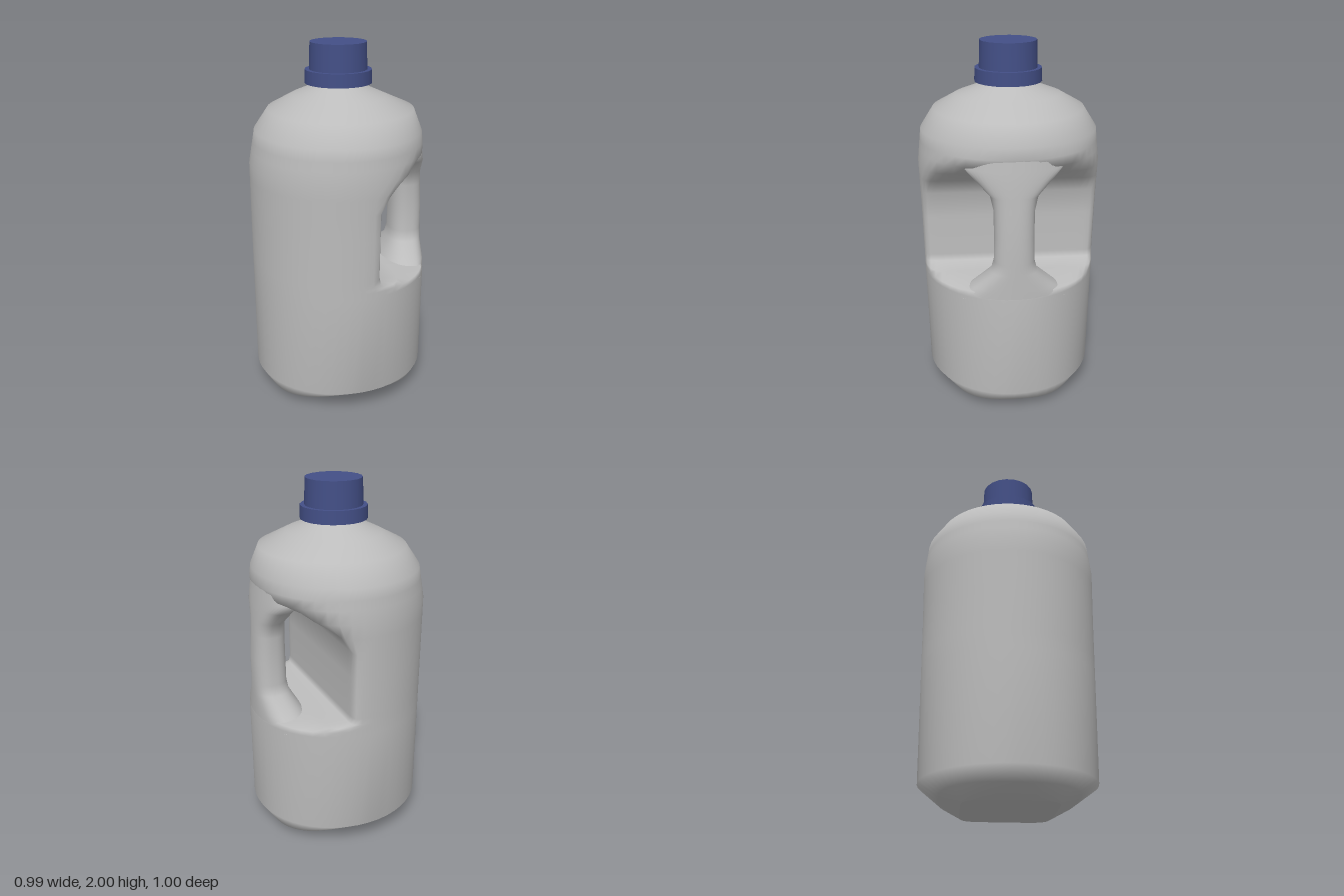
import * as THREE from 'three';

const SEG = 48;

// Skins a stack of closed rings; point(row, cos, sin) returns one ring vertex
function loft(rows, point) {
  const pos = [], index = [];
  rows.forEach((row, i) => {
    for (let j = 0; j < SEG; j++) {
      const t = (j / SEG) * Math.PI * 2;
      pos.push(...point(row, Math.cos(t), Math.sin(t)));
      if (i === rows.length - 1) continue;
      const a = i * SEG + j, b = i * SEG + (j + 1) % SEG;
      index.push(a, a + SEG, b, b, a + SEG, b + SEG);
    }
  });
  const g = new THREE.BufferGeometry();
  g.setAttribute('position', new THREE.Float32BufferAttribute(pos, 3));
  g.setIndex(index);
  g.computeVertexNormals();
  return g;
}

// Values of a [y, ...values] key list at height y, blended between keys
function sample(keys, y) {
  const i = keys.findIndex((k) => k[0] >= y);
  if (i < 0) return keys[keys.length - 1].slice(1);
  if (i === 0) return keys[0].slice(1);
  const [p, q] = [keys[i - 1], keys[i]];
  const t = (y - p[0]) / (q[0] - p[0]);
  return p.slice(1).map((v, k) => v + (q[k + 1] - v) * t);
}

const power = (v, n) => Math.sign(v) * Math.pow(Math.abs(v), 2 / n);

// Body outline: y, reach to -x, reach to +x, half depth
const BODY = [
  [0, 0.29, 0.29, 0.25],
  [0.055, 0.44, 0.44, 0.365],
  [0.13, 0.495, 0.495, 0.475],
  [1.05, 0.495, 0.495, 0.49],
  [1.36, 0.493, 0.474, 0.498],
  [1.54, 0.46, 0.451, 0.478],
  [1.65, 0.385, 0.41, 0.408],
  [1.72, 0.25, 0.25, 0.285],
  [1.775, 0.13, 0.13, 0.135],
  [1.81, 0.125, 0.125, 0.125],
];

// Grip recess: y, x beyond which the body is carved away
const GRIP = [
  [0.72, 0.62],
  [0.75, 0.48],
  [0.77, 0.22],
  [0.785, 0.11],
  [0.82, 0.1],
  [1.19, 0.1],
  [1.28, 0.16],
  [1.36, 0.28],
  [1.43, 0.46],
  [1.48, 0.62],
];

// Handle: y, inner x, half width
const HANDLE = [
  [0.7, 0.2, 0.3],
  [0.77, 0.245, 0.22],
  [0.86, 0.297, 0.123],
  [0.92, 0.308, 0.107],
  [1.06, 0.31, 0.105],
  [1.2, 0.312, 0.107],
  [1.28, 0.312, 0.125],
  [1.36, 0.27, 0.2],
  [1.42, 0.2, 0.26],
  [1.5, 0.2, 0.22],
];

function bodyPoint(y, c, s) {
  const [left, right, depth] = sample(BODY, y);
  const [cut] = sample(GRIP, y);
  // Square foot that turns round above the bevel
  const n = 2 + 4 * Math.pow(Math.max(0, 1 - y / 0.13), 3);
  const x = power(c, n) * (c > 0 ? right : left);
  // Softened limit gives the recess its rounded edges
  const carved = Math.min(x, cut) - Math.log(1 + Math.exp(-30 * Math.abs(x - cut))) / 30;
  return [carved, y, power(s, n) * depth];
}

function handlePoint([y, inner, width], c, s) {
  const outer = sample(BODY, y)[1] - 0.004;
  const x = (inner + outer) / 2 + power(c, 2.4) * (outer - inner) / 2;
  const z = power(s, 2.4) * width;
  // Keep the flared ends inside the round body
  const k = Math.min(1, outer / Math.hypot(x, z));
  return [x * k, y, z * k];
}

export function createModel() {
  const model = new THREE.Group();
  model.name = 'jug';
  const plastic = new THREE.MeshStandardMaterial({ color: 0xbcbcbc });
  plastic.name = 'grey plastic';
  const blue = new THREE.MeshStandardMaterial({ color: 0x434f86 });
  blue.name = 'blue cap';

  const add = (name, geometry, material, parent = model) => {
    const mesh = new THREE.Mesh(geometry, material);
    mesh.name = name;
    parent.add(mesh);
  };

  // Bottle: one ring at every outline and recess height
  const heights = [...BODY, ...GRIP].map((k) => k[0]);
  const rings = [...new Set(heights)].sort((a, b) => a - b);
  add('body', loft(rings, bodyPoint), plastic);
  add('base', loft([0, 1], (k, c, s) => bodyPoint(0, c, s).map((v) => v * k)), plastic);
  add('handle', loft(HANDLE, handlePoint), plastic);

  // Screw cap: wide collar and narrower top
  const cap = new THREE.Group();
  cap.name = 'cap';
  model.add(cap);
  const disc = (name, top, bottom, y0, y1) => {
    const g = new THREE.CylinderGeometry(top, bottom, y1 - y0, 20);
    g.rotateY(Math.PI / 20);
    g.translate(0, (y0 + y1) / 2, 0);
    add(name, g, blue, cap);
  };
  disc('capCollar', 0.18, 0.182, 1.785, 1.857);
  disc('capTop', 0.152, 0.157, 1.85, 2);
  return model;
}
